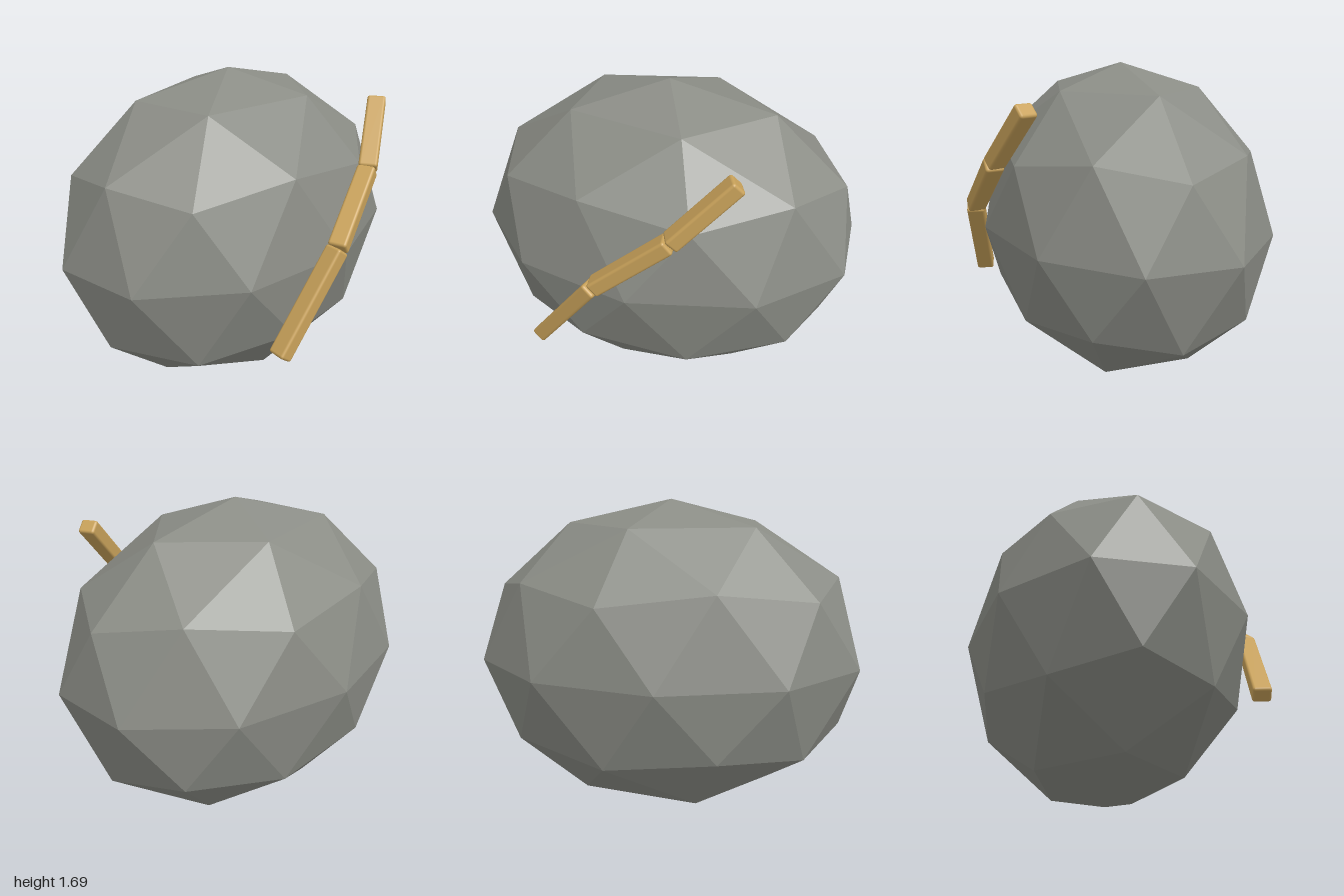
import * as THREE from 'three';
import { RoundedBoxGeometry } from 'three/addons/geometries/RoundedBoxGeometry.js';

export function createModel() {
  const model = new THREE.Group();
  model.name = 'bandedRock';

  // Faceted boulder: an icosphere turned so that one vertex is its pole
  const rockGeometry = new THREE.IcosahedronGeometry(1, 1);
  rockGeometry.rotateZ(-Math.atan2(2, 1 + Math.sqrt(5)));
  rockGeometry.scale(1.051, 0.847, 0.762);
  rockGeometry.translate(0, 0.848, -0.042);
  rockGeometry.computeVertexNormals(); // unindexed, so normals stay flat
  const rock = new THREE.Mesh(
    rockGeometry,
    new THREE.MeshStandardMaterial({ color: 0x8b8d86, flatShading: true })
  );
  rock.name = 'rock';
  model.add(rock);

  // Golden vein: three bevelled bars laid end to end across the front
  const gold = new THREE.MeshStandardMaterial({ color: 0xc9a25a });
  const path = [
    [-0.5, 0.47, 0.66],
    [-0.147, 0.937, 0.745],
    [0.217, 1.232, 0.69],
    [0.492, 1.524, 0.575],
  ].map((p) => new THREE.Vector3(...p));
  const vein = new THREE.Group();
  vein.name = 'vein';
  for (let i = 0; i < path.length - 1; i++) {
    const [a, b] = [path[i], path[i + 1]];
    const bar = new THREE.Mesh(
      new RoundedBoxGeometry(0.095, 0.08, a.distanceTo(b), 2, 0.014),
      gold
    );
    bar.name = `veinBar${i + 1}`;
    bar.position.lerpVectors(a, b, 0.5);
    bar.lookAt(b);
    vein.add(bar);
  }
  model.add(vein);

  return model;
}
